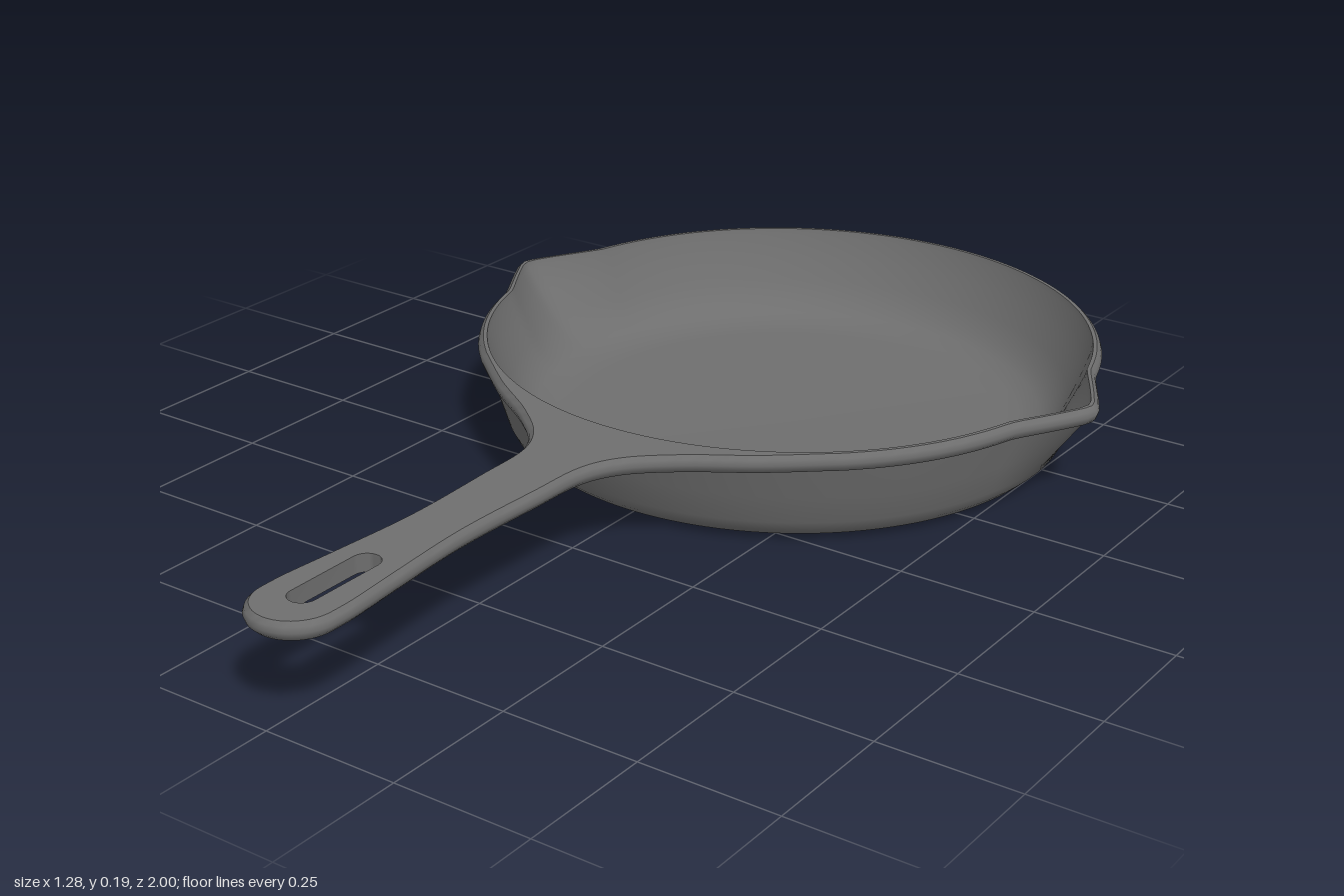
import * as THREE from 'three';
import { toCreasedNormals } from 'three/addons/utils/BufferGeometryUtils.js';

const CZ = -0.42;            // centre of the pan
const TOP = 0.187, UNDER = 0.155;
const SEG = 192;

// Pouring lip: a small pointed bump on each side
function lip(a) {
  const d = Math.asin(Math.min(1, Math.abs(Math.sin(a))));
  return 0.063 * Math.pow(Math.max(0, 1 - Math.max(d, 0.015) / 0.27), 1.3);
}

function panPoint(r, weight, a) {
  const q = r + weight * lip(a);
  return [q * Math.cos(a), CZ + q * Math.sin(a)];
}

function panRing(r, weight) {
  return Array.from({ length: SEG }, (_, i) => panPoint(r, weight, (i / SEG) * Math.PI * 2));
}

// Skin closed rings { pts: [x, z] list, y } into one surface
function skin(rings, crease) {
  const n = rings[0].pts.length, pos = [], idx = [];
  for (const { pts, y } of rings) for (const [x, z] of pts) pos.push(x, y, z);
  for (let i = 0; i < rings.length - 1; i++) {
    for (let j = 0; j < n; j++) {
      const k = (j + 1) % n;
      const a = i * n + j, b = i * n + k, c = a + n, d = b + n;
      idx.push(a, c, b, b, c, d);
    }
  }
  const g = new THREE.BufferGeometry();
  g.setAttribute('position', new THREE.Float32BufferAttribute(pos, 3));
  g.setIndex(idx);
  return toCreasedNormals(g, crease);
}

// Outline of rim and handle together, mirrored across x = 0
function rimOutline() {
  const half = [];
  for (let a = -Math.PI / 2; a < 0.8; a += Math.PI / 96) half.push(panPoint(0.58, 1, a));
  const side = new THREE.CatmullRomCurve3(
    [[0.39, 0.01], [0.28, 0.1], [0.17, 0.175], [0.1, 0.24], [0.071, 0.3], [0.064, 0.42], [0.059, 0.6], [0.07, 0.76], [0.08, 0.88], [0.08, 0.92]]
      .map(([x, z]) => new THREE.Vector3(x, 0, z)), false, 'centripetal');
  for (const p of side.getSpacedPoints(60)) half.push([p.x, p.z]);
  for (let i = 1; i <= 12; i++) {
    const a = (i / 12) * Math.PI / 2;
    half.push([0.08 * Math.cos(a), 0.92 + 0.08 * Math.sin(a)]);
  }
  const mirrored = half.slice(1, -1).reverse().map(([x, z]) => [-x, z]);
  return half.concat(mirrored);
}

function inset(pts, d) {
  const n = pts.length;
  return pts.map(([x, z], i) => {
    const p = pts[(i + n - 1) % n], q = pts[(i + 1) % n];
    const tx = q[0] - p[0], tz = q[1] - p[1], l = Math.hypot(tx, tz);
    return [x - (d * tz) / l, z + (d * tx) / l];
  });
}

// Hanging slot near the end of the handle
function slotOutline() {
  const pts = [], r = 0.025;
  for (const [z, start] of [[0.905, 0], [0.765, Math.PI]]) {
    for (let i = 0; i <= 12; i++) {
      const a = start + (i / 12) * Math.PI;
      pts.push([r * Math.cos(a), z + r * Math.sin(a)]);
    }
  }
  return pts;
}

// Flat face with holes, looking up (dir = 1) or down (dir = -1)
function flatFace(outer, holes, y, dir) {
  const v = (pts) => pts.map(([x, z]) => new THREE.Vector2(x, -dir * z));
  const shape = new THREE.Shape(v(outer));
  for (const h of holes) shape.holes.push(new THREE.Path(v(h)));
  return new THREE.ShapeGeometry(shape).rotateX(-dir * Math.PI / 2).translate(0, y, 0);
}

export function createModel() {
  const group = new THREE.Group();
  const iron = new THREE.MeshStandardMaterial({ color: 0x6e6e6e });
  const add = (name, geometry) => {
    const mesh = new THREE.Mesh(geometry, iron);
    mesh.name = name;
    group.add(mesh);
  };
  const bowl = (profile) => profile.map(([r, y, w]) => ({ pts: panRing(r, w), y }));

  // Outside of the pan: base, rounded foot and sloping wall
  add('outerWall', skin(bowl([
    [0.0001, 0, 0], [0.487, 0, 0], [0.508, 0.009, 0], [0.522, 0.022, 0],
    [0.531, 0.04, 0.05], [0.548, 0.095, 0.45], [0.565, UNDER, 0.9],
  ]), 0.5));

  // Inside of the pan, running down from the rim to the floor
  add('innerWall', skin(bowl([
    [0.563, TOP, 1], [0.56, 0.175, 0.97], [0.543, 0.135, 0.75], [0.522, 0.09, 0.48],
    [0.5, 0.056, 0.25], [0.475, 0.035, 0.1], [0.44, 0.023, 0], [0.4, 0.02, 0], [0.0001, 0.02, 0],
  ]), 0.7));

  // Rim and handle: rounded edge with flat top and underside
  const outline = rimOutline(), slot = slotOutline();
  const edge = [[0.01, UNDER], [0.003, 0.162], [0, 0.171], [0.003, 0.18], [0.01, TOP]];
  add('rimAndHandleEdge', skin(edge.map(([d, y]) => ({ pts: inset(outline, d), y })), 0.8));
  const flat = inset(outline, 0.01);
  add('rimAndHandleTop', flatFace(flat, [panRing(0.563, 1), slot], TOP, 1));
  add('rimAndHandleUnderside', flatFace(flat, [panRing(0.565, 0.9), slot], UNDER, -1));

  // Wall of the hanging slot, facing inward
  const inward = slot.slice().reverse();
  add('hangingSlot', skin([{ pts: inward, y: UNDER }, { pts: inward, y: TOP }], 0.6));

  return group;
}
